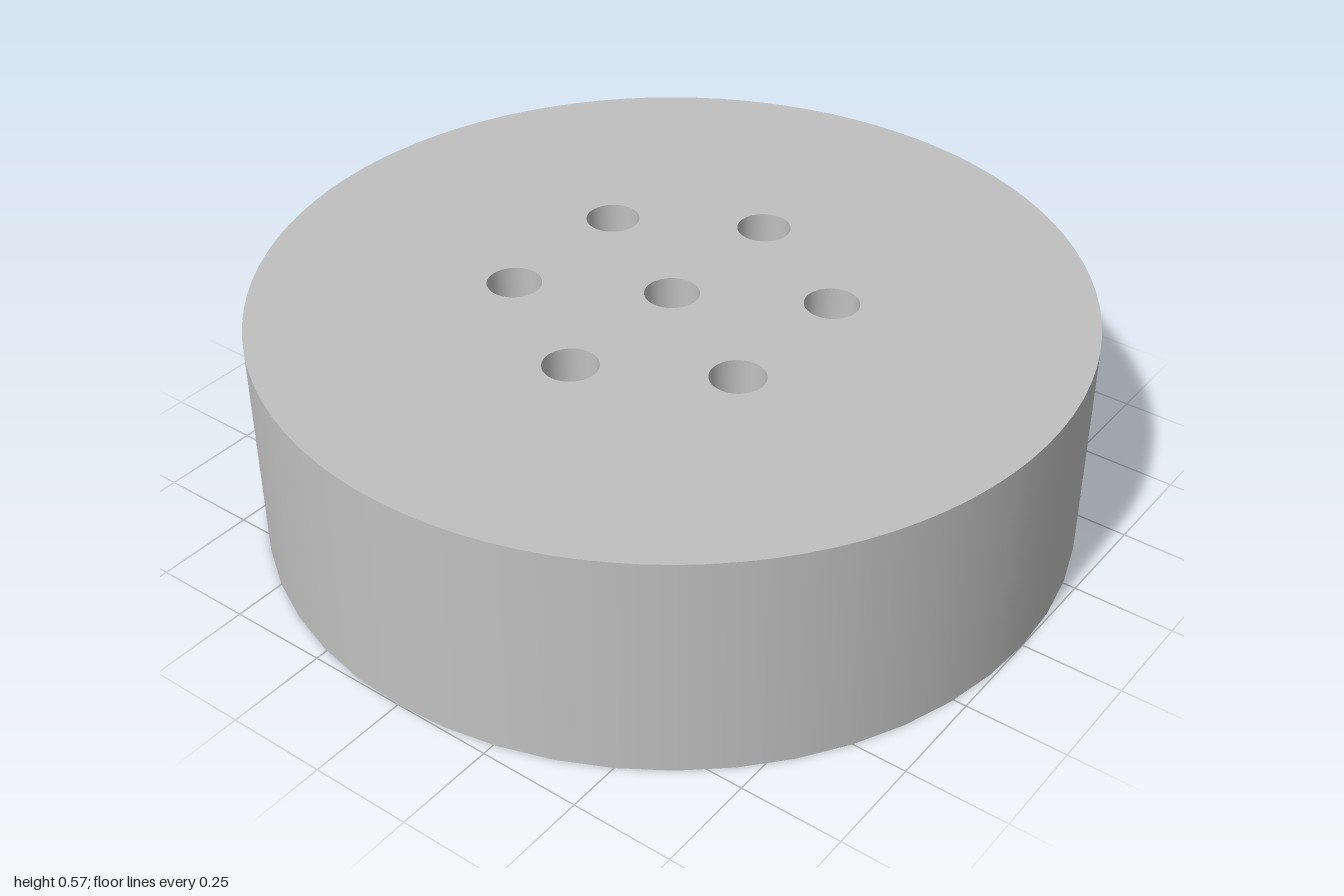
import * as THREE from 'three';

const SIDES = 48;
const OUTER = 1, INNER = 0.877, HEIGHT = 0.566, CEILING = 0.434;
const HOLE = 0.066, HOLE_RING = 0.377;

export function createModel() {
  const model = new THREE.Group();
  model.name = 'perforatedCap';
  const grey = new THREE.MeshStandardMaterial({ color: 0xc0c0c0 });
  grey.name = 'grey';

  const add = (name, geometry, x = 0, z = 0) => {
    const mesh = new THREE.Mesh(geometry, grey);
    mesh.name = name;
    mesh.position.set(x, 0, z);
    model.add(mesh);
  };

  // Revolved band: faces outward going up, inward going down
  const band = (r0, y0, r1, y1) => new THREE.LatheGeometry(
    [new THREE.Vector2(r0, y0), new THREE.Vector2(r1, y1)], SIDES);

  // One centre hole and six around it
  const holes = [[0, 0]];
  for (let i = 0; i < 6; i++) {
    const a = i * Math.PI / 3;
    holes.push([HOLE_RING * Math.cos(a), HOLE_RING * Math.sin(a)]);
  }

  // Flat disc pierced by the holes
  const disc = (radius, y, facing) => {
    const shape = new THREE.Shape().absarc(0, 0, radius, 0, Math.PI * 2, false);
    for (const [x, z] of holes) {
      shape.holes.push(new THREE.Path().absarc(x, z, HOLE, 0, Math.PI * 2, true));
    }
    return new THREE.ShapeGeometry(shape, SIDES)
      .rotateX(-facing * Math.PI / 2).translate(0, y, 0);
  };

  // Hollow round body, open underneath
  add('outerWall', band(OUTER, 0, OUTER, HEIGHT));
  add('innerWall', band(INNER, CEILING, INNER, 0));
  add('bottomRim', band(INNER, 0, OUTER, 0));
  add('topFace', disc(OUTER, HEIGHT, 1));
  add('ceiling', disc(INNER, CEILING, -1));

  // Walls of the through holes
  for (const [x, z] of holes) {
    add('holeWall', band(HOLE, HEIGHT, HOLE, CEILING), x, z);
  }
  return model;
}
